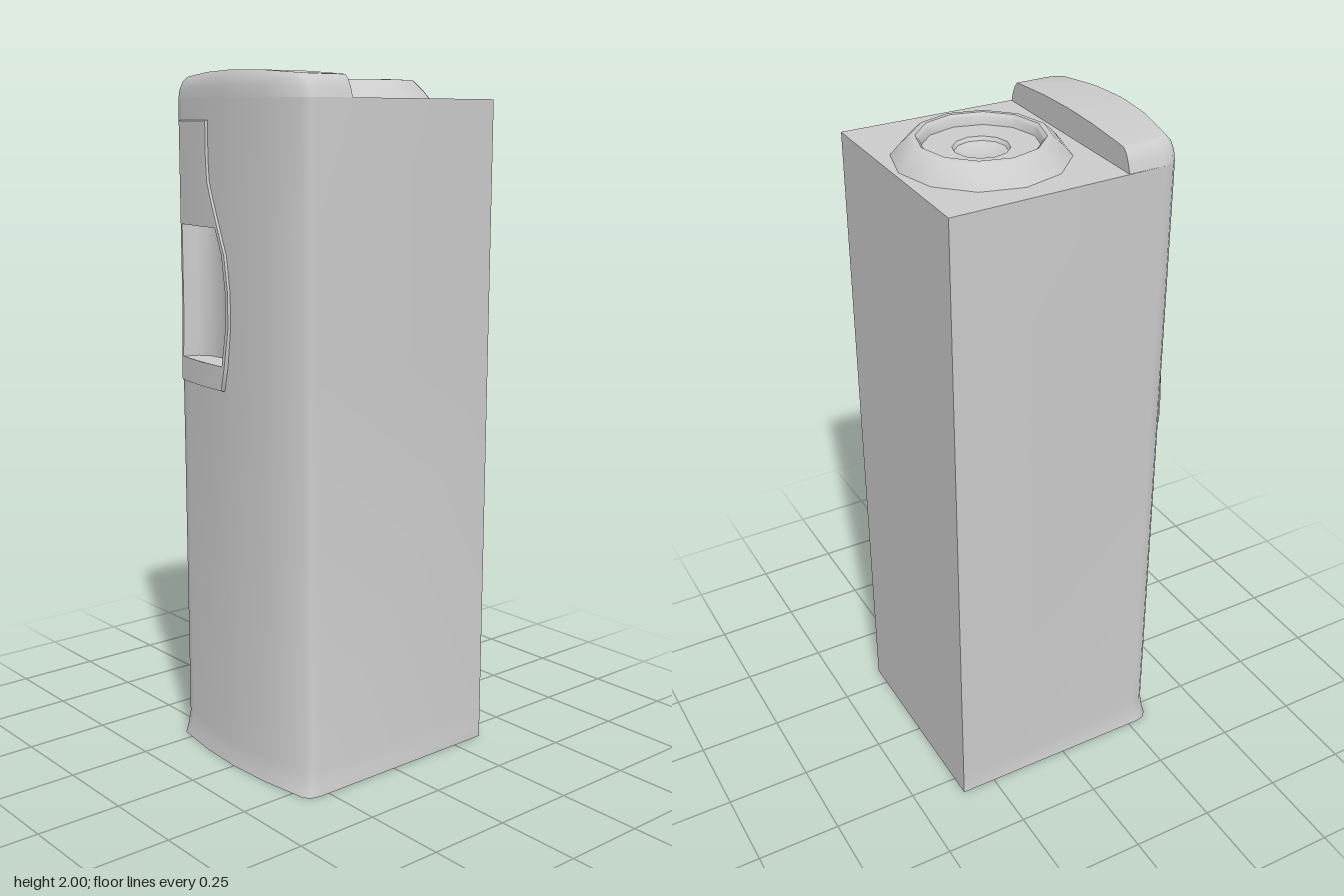
import * as THREE from 'three';
import { toCreasedNormals } from 'three/addons/utils/BufferGeometryUtils.js';

const grey = new THREE.MeshStandardMaterial({ color: 0xcccccc });

// Skin a list of rows of [x, y, z]; rows run upward, columns left to right
function skin(name, rows, { closed = false, skip = () => false, crease = 0.8 } = {}) {
  const pos = [];
  const tri = (a, b, c) => {
    const v = [a, b, c].map((p) => new THREE.Vector3(...p));
    const area = v[1].clone().sub(v[0]).cross(v[2].clone().sub(v[0])).length();
    if (area > 1e-8) pos.push(...a, ...b, ...c);
  };
  for (let i = 0; i < rows.length - 1; i++) {
    const n = rows[i].length;
    for (let j = 0; j < (closed ? n : n - 1); j++) {
      if (skip(i, j)) continue;
      const k = (j + 1) % n;
      tri(rows[i][j], rows[i][k], rows[i + 1][k]);
      tri(rows[i][j], rows[i + 1][k], rows[i + 1][j]);
    }
  }
  const g = new THREE.BufferGeometry();
  g.setAttribute('position', new THREE.Float32BufferAttribute(pos, 3));
  const mesh = new THREE.Mesh(toCreasedNormals(g, crease), grey);
  mesh.name = name;
  return mesh;
}

// Piecewise-linear lookup through sorted [key, value] pairs
function lookup(pairs, t) {
  for (let i = 1; i < pairs.length; i++) {
    const [a, va] = pairs[i - 1], [b, vb] = pairs[i];
    if (t <= b) return va + ((vb - va) * Math.max(0, t - a)) / (b - a);
  }
  return pairs[pairs.length - 1][1];
}

// Bowed front: depth of the face at x
const bow = (x) => lookup([[0, 0.342], [0.135, 0.335], [0.28, 0.313]], Math.abs(x));
// Right edges of the plate and of its window, by height
const plateRight = (y) => lookup([[1.12, -0.035], [1.19, -0.018], [1.3, -0.002], [1.4, -0.002],
  [1.5, -0.018], [1.575, -0.05], [1.64, -0.078], [1.7, -0.1], [1.76, -0.105]], y);
const windowRight = (y) => plateRight(y) - 0.016;
const windowLeft = -0.258;
const windowRows = [1.19, 1.3, 1.4, 1.5, 1.575];
const lift = 0.007;

// Horizontal section, back left corner round the front to the back right
function section(backX, backZ, win = -0.03) {
  const front = [-0.28, windowLeft, -0.135, win, 0, 0.135, 0.28].map((x) => [x, bow(x)]);
  return [[-backX, backZ], [-0.303, 0.27], [-0.297, 0.297], ...front,
    [0.297, 0.297], [0.303, 0.27], [backX, backZ]];
}

function makeBody() {
  const at = (y) => section(0.315, -0.355, windowRows.includes(y) ? windowRight(y) : -0.03)
    .map(([x, z]) => [x, y, z]);
  // Flared foot along the front
  const foot = at(0).map(([x, y, z]) => (z > 0 ? [x * 1.04, y, z + 0.011] : [x, y, z]));
  const rows = [foot.map(() => [0, 0, 0]), foot, at(0.03).map(([x, y, z]) => (z > 0 ? [x * 1.018, y, z + 0.005] : [x, y, z])),
    at(0.07), ...windowRows.map(at), at(1.925)];
  rows.push(foot.map(() => [0, 1.925, 0]));
  // Leave the window open
  return skin('body', rows, { closed: true, skip: (i, j) => i >= 4 && i < 8 && (j === 4 || j === 5) });
}

function makeHood() {
  const row = (y, sx, dz, crown) => section(0.303, 0.16).map(([x, z]) => [
    x * sx, y + crown * (1 - (x / 0.303) ** 2), z > 0.2 ? z + dz : z]);
  const rim = row(1.985, 0.9, -0.014, 0.015);
  return skin('hood', [
    row(1.925, 1, 0, 0), row(1.95, 0.975, 0, 0.008), row(1.972, 0.94, -0.005, 0.013), rim,
    rim.map(([x, y]) => [x, y, 0.16]),
    rim.map(() => [0, 1.985, 0.16]),
  ], { closed: true });
}

// Raised plate around the window, with a thin rolled edge
function makePlate() {
  const ys = [1.12, ...windowRows, 1.62, 1.66, 1.7, 1.76, 1.865];
  const row = (y, h) => {
    const r = plateRight(y), inner = windowRight(y);
    // The lower lip stands out a little further
    const up = y < 1.2 ? h * 1.6 : h;
    return [[-0.27, 0], [-0.267, up], [windowLeft, up], [-0.135, up], [inner, up], [r - 0.003, up], [r, 0]]
      .map(([x, o]) => [x, y, bow(x) + o]);
  };
  const rows = [row(1.117, 0), ...ys.map((y) => row(y, lift)), row(1.868, 0)];
  return skin('handlePlate', rows, { skip: (i, j) => i >= 2 && i < 6 && (j === 2 || j === 3) });
}

// Scooped pocket behind the window
function makePocket() {
  const scoop = [[0, 0], [0.06, 0.035], [0.2, 0.062], [0.42, 0.072], [0.62, 0.068], [0.85, 0.035], [1, 0]];
  const row = (y, k) => scoop.map(([t, d]) => {
    const x = windowLeft + t * (windowRight(y) - windowLeft);
    return [x, y, bow(x) + lift * (y < 1.2 ? 1.6 : 1) * (d && k ? 0 : 1) - d * k];
  });
  return skin('handlePocket', [row(1.19, 0), ...windowRows.map((y) => row(y, 1)), row(1.575, 0)]);
}

// Twelve-sided ring with a dished centre on the top
function makeTopRing() {
  const profile = [[0.237, 1.924], [0.215, 1.95], [0.185, 1.978], [0.17, 1.979], [0.162, 1.972],
    [0.158, 1.948], [0.076, 1.948], [0.07, 1.938], [0.04, 1.929], [0, 1.926]]
    .map(([r, y]) => new THREE.Vector2(r, y));
  const g = new THREE.LatheGeometry(profile, 12).toNonIndexed();
  const mesh = new THREE.Mesh(toCreasedNormals(g, 0.7), grey);
  mesh.name = 'topRing';
  mesh.position.set(-0.012, 0, -0.105);
  return mesh;
}

export function createModel() {
  const group = new THREE.Group();
  group.name = 'dispenser';
  group.add(makeBody(), makeHood(), makePlate(), makePocket(), makeTopRing());
  return group;
}
